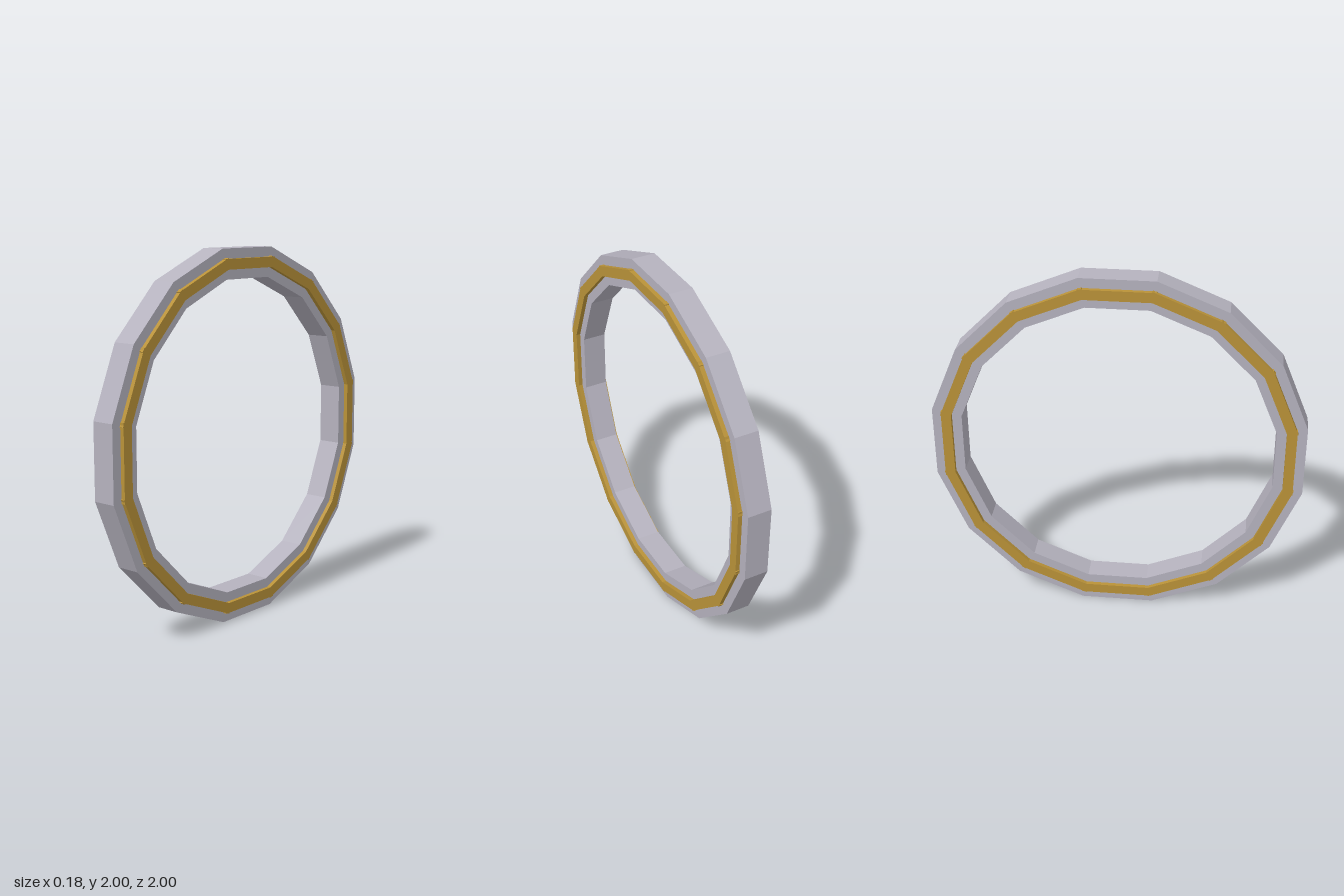
import * as THREE from 'three';

const SIDES = 16;
const STEP = (Math.PI * 2) / SIDES;

// Regular polygon with flats facing the axes, sized by its apothem
function polygon(apothem, PathType) {
  const radius = apothem / Math.cos(STEP / 2);
  const points = [];
  for (let i = 0; i < SIDES; i++) {
    const a = (i + 0.5) * STEP;
    points.push(new THREE.Vector2(radius * Math.cos(a), radius * Math.sin(a)));
  }
  return new PathType(points);
}

export function createModel() {
  const silver = new THREE.MeshStandardMaterial({ color: 0xb5b2be });
  silver.name = 'silver';
  const gold = new THREE.MeshStandardMaterial({ color: 0xb99238 });
  gold.name = 'gold';

  const model = new THREE.Group();
  model.name = 'ring';

  // Faceted silver band with a straight-through opening
  const shape = polygon(1, THREE.Shape);
  shape.holes.push(polygon(0.84, THREE.Path));
  const bandGeometry = new THREE.ExtrudeGeometry(shape, { depth: 0.13, bevelEnabled: false });
  bandGeometry.translate(0, 0, -0.065).rotateY(Math.PI / 2);
  const band = new THREE.Mesh(bandGeometry, silver);
  band.name = 'band';
  band.position.y = 1;
  model.add(band);

  // Raised gold bars along each facet, overlapping at the corners, on both faces
  const barGeometry = new THREE.BoxGeometry(0.028, 0.055, 0.4);
  for (const side of [1, -1]) {
    const trim = new THREE.Group();
    trim.name = side > 0 ? 'leftTrim' : 'rightTrim';
    trim.position.set(side * 0.074, 1, 0);
    for (let i = 0; i < SIDES; i++) {
      const a = i * STEP;
      const bar = new THREE.Mesh(barGeometry, gold);
      bar.name = 'trimBar';
      bar.position.set(0, 0.92 * Math.cos(a), 0.92 * Math.sin(a));
      bar.rotation.x = a;
      trim.add(bar);
    }
    model.add(trim);
  }
  return model;
}
